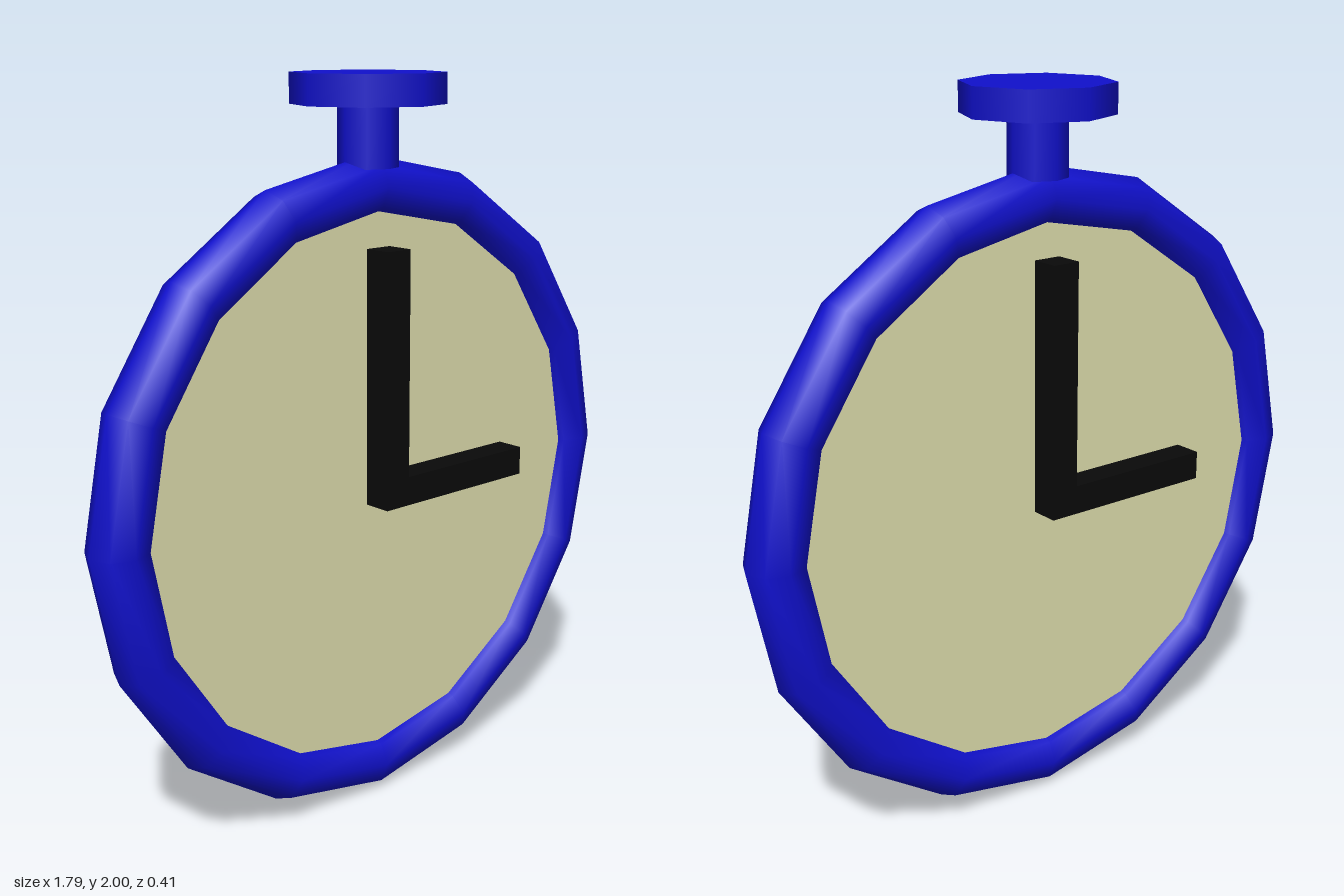
import * as THREE from 'three';

const blue = new THREE.MeshStandardMaterial({ color: 0x1010cc });
const cream = new THREE.MeshStandardMaterial({ color: 0xe0dfae });
const black = new THREE.MeshStandardMaterial({ color: 0x0a0a0a });
const CENTER_Y = 0.898;

function part(name, geometry, material, x = 0, y = 0, z = 0) {
  const mesh = new THREE.Mesh(geometry, material);
  mesh.name = name;
  mesh.position.set(x, y, z);
  return mesh;
}

// Both hands for one side of the watch, reaching from the dial outwards
function createHands(name) {
  const hands = new THREE.Group();
  hands.name = name;
  hands.add(
    part('minuteHand', new THREE.BoxGeometry(0.08, 0.695, 0.08), black, 0, 0.31, 0.08),
    part('hourHand', new THREE.BoxGeometry(0.447, 0.08, 0.08), black, 0.2635, 0.0025, 0.08)
  );
  hands.position.y = CENTER_Y;
  return hands;
}

export function createModel() {
  const watch = new THREE.Group();
  watch.name = 'stopwatch';

  // Sixteen-sided rim with an eight-sided tube
  watch.add(part('rim', new THREE.TorusGeometry(0.815, 0.08, 8, 16), blue, 0, CENTER_Y, 0));

  // Dial, its edge buried in the rim
  const dial = new THREE.CylinderGeometry(0.8, 0.8, 0.08, 16).rotateX(Math.PI / 2);
  watch.add(part('dial', dial, cream, 0, CENTER_Y, 0));

  // Hands on both faces
  const backHands = createHands('backHands');
  backHands.rotation.y = Math.PI;
  watch.add(createHands('frontHands'), backHands);

  // Crown: stem and push button
  watch.add(
    part('stem', new THREE.CylinderGeometry(0.08, 0.08, 0.16, 8), blue, 0, 1.84, 0),
    part('button', new THREE.CylinderGeometry(0.203, 0.203, 0.08, 8), blue, 0, 1.96, 0)
  );

  return watch;
}
